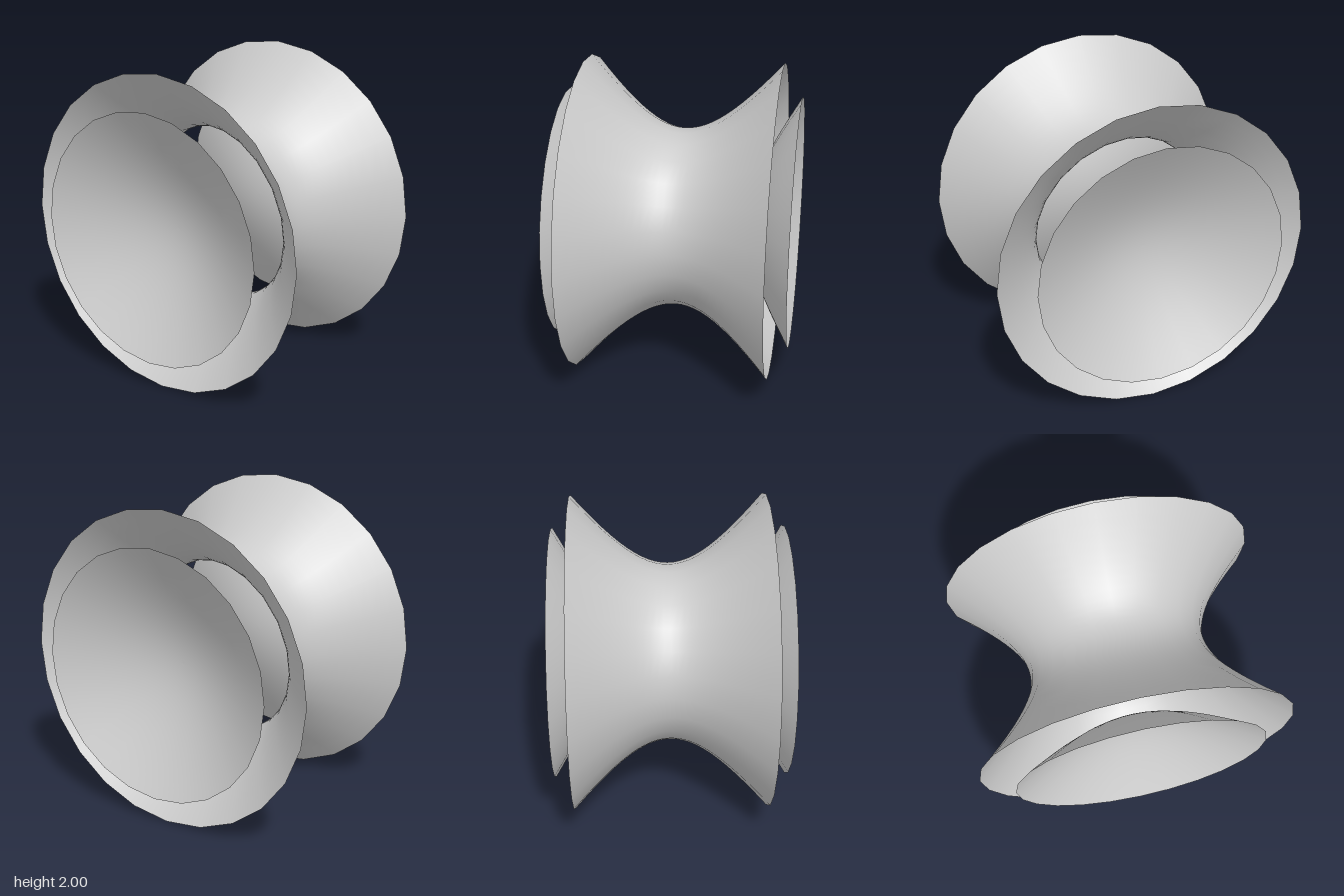
import * as THREE from 'three';

const A = 0.565; // waist radius
const SIDES = 24;
const ROWS = 24;

// Revolve a profile of (radius, z) points around the z axis
function revolve(name, profile, material) {
  const geometry = new THREE.LatheGeometry(profile, SIDES);
  geometry.rotateX(Math.PI / 2);
  const mesh = new THREE.Mesh(geometry, material);
  mesh.name = name;
  mesh.position.y = 1;
  return mesh;
}

export function createModel() {
  const group = new THREE.Group();
  group.name = 'hyperboloids';
  const material = new THREE.MeshStandardMaterial({ color: 0xcccccc, side: THREE.DoubleSide });

  // Waisted tube: hyperboloid of one sheet, flaring to radius 1 at z = +-0.61
  const vTube = Math.acosh(1 / A);
  const cTube = 0.61 / Math.sinh(vTube);
  const tube = [];
  for (let i = 0; i <= ROWS; i++) {
    const v = vTube * (2 * i / ROWS - 1);
    tube.push(new THREE.Vector2(A * Math.cosh(v), cTube * Math.sinh(v)));
  }
  group.add(revolve('waistedTube', tube, material));

  // Two bowls: hyperboloid of two sheets, nested in the flared ends
  const vBowl = Math.asinh(0.795 / A);
  const cBowl = 0.73 / Math.cosh(vBowl);
  for (const [name, side] of [['frontBowl', 1], ['backBowl', -1]]) {
    const bowl = [];
    for (let i = 0; i <= ROWS; i++) {
      const v = vBowl * i / ROWS;
      bowl.push(new THREE.Vector2(A * Math.sinh(v), side * cBowl * Math.cosh(v)));
    }
    group.add(revolve(name, side > 0 ? bowl : bowl.reverse(), material));
  }
  return group;
}
